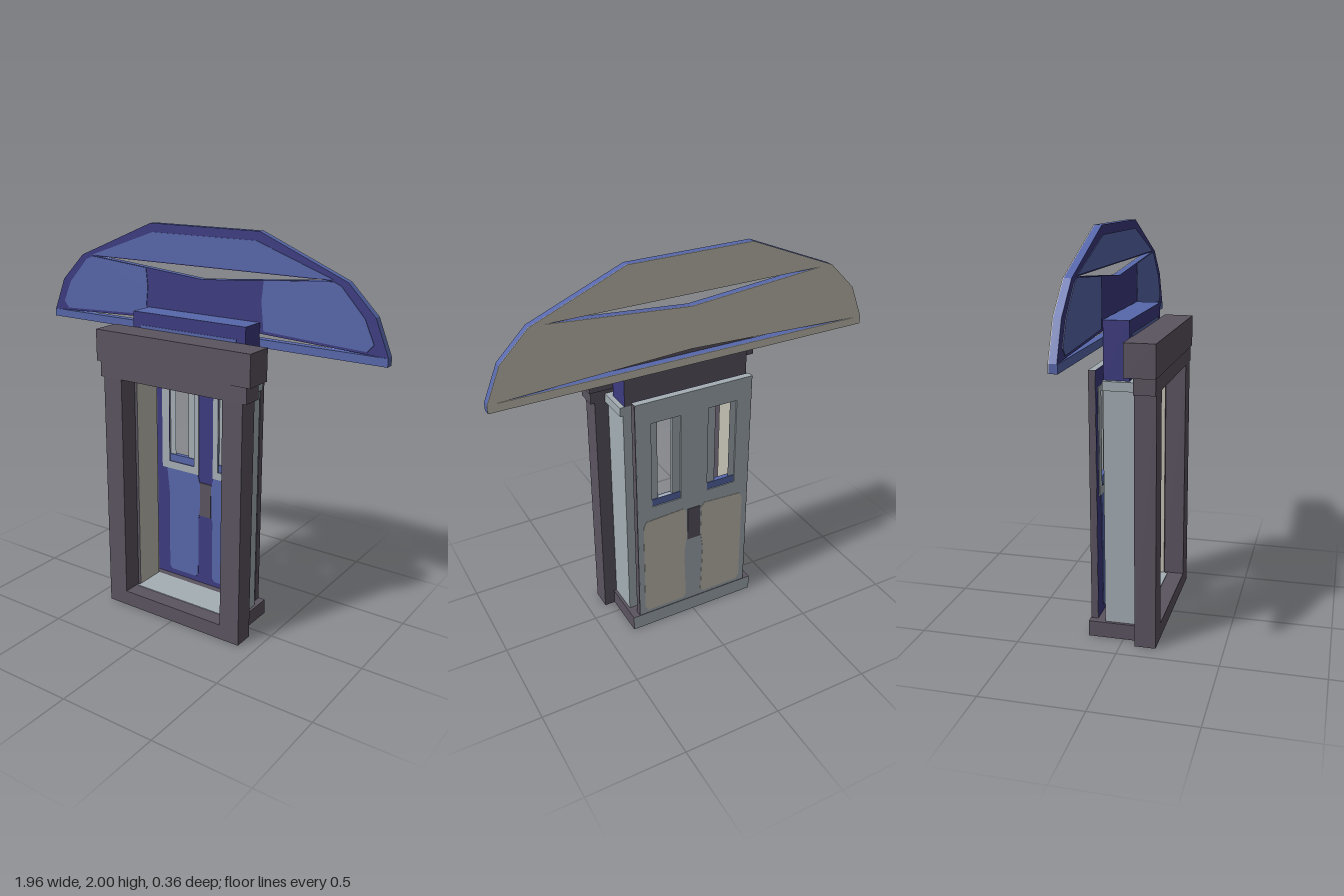
import * as THREE from 'three';

const mat = (name, color) => {
  const m = new THREE.MeshStandardMaterial({ color });
  m.name = name;
  return m;
};

export function createModel() {
  const stone = mat('purple grey stone', 0x5b5460);
  const indigo = mat('indigo', 0x3d3b80);
  const blue = mat('blue', 0x5767aa);
  const grey = mat('light grey', 0xa4aeb4);
  const cream = mat('cream', 0xc4c0b4);

  const model = new THREE.Group();
  model.name = 'doorwayWithSign';
  const add = (name, geo, m) => {
    const mesh = new THREE.Mesh(geo, m);
    mesh.name = name;
    model.add(mesh);
    return mesh;
  };
  // Box given by its minimum and maximum corners
  const box = (name, a, b, m) => {
    const g = new THREE.BoxGeometry(b[0] - a[0], b[1] - a[1], b[2] - a[2]);
    g.translate((a[0] + b[0]) / 2, (a[1] + b[1]) / 2, (a[2] + b[2]) / 2);
    return add(name, g, m);
  };
  const path = (pts) => pts.map((p) => new THREE.Vector2(p[0], p[1]));
  // Outline with holes extruded from z0 to z1
  const slab = (name, pts, holes, z0, z1, m) => {
    const shape = new THREE.Shape(path(pts));
    holes.forEach((h) => shape.holes.push(new THREE.Path(path(h))));
    const g = new THREE.ExtrudeGeometry(shape, { depth: z1 - z0, bevelEnabled: false });
    g.translate(0, 0, z0);
    return add(name, g, m);
  };
  const rect = (x0, x1, y0, y1) => [[x0, y0], [x1, y0], [x1, y1], [x0, y1]];
  const flip = (pts, s) => pts.map(([x, y]) => [x * s, y]);
  const mirrored = (half) => [...half, ...flip(half, -1).reverse()];

  // Stone front frame with stepped lintel
  slab('frontFrame', mirrored([[0.41, 0], [0.41, 1.26], [0.43, 1.26], [0.43, 1.34]]),
    [rect(-0.3, 0.3, 0.08, 1.26)], 0.07, 0.175, stone);
  box('lintel', [-0.45, 1.34, 0.03], [0.45, 1.5, 0.18], stone);

  // Base and floor
  box('base', [-0.355, 0, -0.176], [0.355, 0.08, 0.07], [stone, stone, stone, stone, stone, grey]);
  box('floor', [-0.285, 0.08, -0.095], [0.285, 0.084, 0.09], grey);

  // Side walls and ceiling
  for (const s of [-1, 1]) {
    const outer = [grey, cream, grey, grey, stone, grey];
    if (s < 0) [outer[0], outer[1]] = [outer[1], outer[0]];
    const x = [s * 0.285, s * 0.34].sort((a, b) => a - b);
    box('sideWall', [x[0], 0.08, -0.095], [x[1], 1.255, 0.07], outer);
  }
  box('ceiling', [-0.355, 1.255, -0.095], [0.355, 1.3, 0.07], grey);

  // Header block behind the lintel
  box('header', [-0.33, 1.3, -0.095], [0.33, 1.58, 0.03],
    [indigo, indigo, blue, indigo, indigo, stone]);
  box('headerStripe', [-0.28, 1.5, 0.03], [0.28, 1.515, 0.033], blue);

  // Rear door with two windows
  const doorOutline = rect(-0.315, 0.315, 0.08, 1.34);
  const windows = [rect(0.075, 0.235, 0.75, 1.225), rect(-0.235, -0.075, 0.75, 1.225)];
  slab('door', doorOutline, windows, -0.173, -0.14, grey);
  slab('doorInnerFace', doorOutline, windows, -0.14, -0.137, indigo);
  const innerPanel = [[0.06, 0.11], [0.22, 0.11], [0.235, 0.13], [0.235, 0.58],
    [0.25, 0.71], [0.05, 0.71], [0.035, 0.66], [0.035, 0.5], [0.045, 0.46], [0.045, 0.13]];
  const outerPanel = [[0.06, 0.1], [0.27, 0.1], [0.285, 0.13], [0.285, 0.64],
    [0.27, 0.67], [0.06, 0.68], [0.045, 0.66], [0.04, 0.5], [0.055, 0.4], [0.045, 0.12]];
  for (const s of [-1, 1]) {
    const hole = flip(windows[0], s);
    slab('windowSurround', flip(rect(0.045, 0.28, 0.71, 1.255), s), [hole], -0.137, -0.133, grey);
    slab('windowFrame', flip(rect(0.075, 0.235, 0.75, 1.225), s),
      [flip(rect(0.12, 0.2, 0.79, 1.22), s)], -0.165, -0.148, grey);
    box('windowSill', [s * 0.155 - 0.08, 0.75, -0.168], [s * 0.155 + 0.08, 0.79, -0.142], blue);
    slab('innerDoorPanel', flip(innerPanel, s), [], -0.137, -0.134, blue);
    slab('outerDoorPanel', flip(outerPanel, s), [], -0.175, -0.173, cream);
    box('doorEdge', [s * 0.316 - 0.002, 0.08, -0.172], [s * 0.316 + 0.002, 1.34, -0.138], stone);
  }
  box('innerLatchPlate', [-0.035, 0.48, -0.137], [0.035, 0.67, -0.132], stone);
  box('outerLatchPlate', [-0.036, 0.48, -0.176], [0.036, 0.67, -0.173], stone);

  // Wide sign board with an upper cut-out and a thin lower slot
  const signOutline = mirrored([[0.98, 1.46], [0.98, 1.5], [0.91, 1.67], [0.77, 1.81], [0.315, 2]]);
  const signHoles = [[[-0.7, 1.81], [0, 1.75], [0.7, 1.81]], [[-0.95, 1.5], [0.95, 1.5], [0, 1.54]]];
  slab('signBoard', signOutline, signHoles, -0.132, -0.098, [indigo, blue]);
  slab('signBack', signOutline, signHoles, -0.136, -0.132, cream);
  slab('signUpperPanel', mirrored([[0.7, 1.815], [0.3, 1.957]]), [], -0.098, -0.095, blue);
  slab('signLowerBar', rect(-0.98, 0.98, 1.46, 1.5), [], -0.098, -0.095, blue);
  const wing = [[0.35, 1.54], [0.88, 1.515], [0.91, 1.55], [0.86, 1.66], [0.74, 1.79],
    [0.7, 1.807], [0.345, 1.777], [0.335, 1.68]];
  for (const s of [-1, 1]) slab('signWingPanel', flip(wing, s), [], -0.098, -0.095, blue);

  return model;
}
